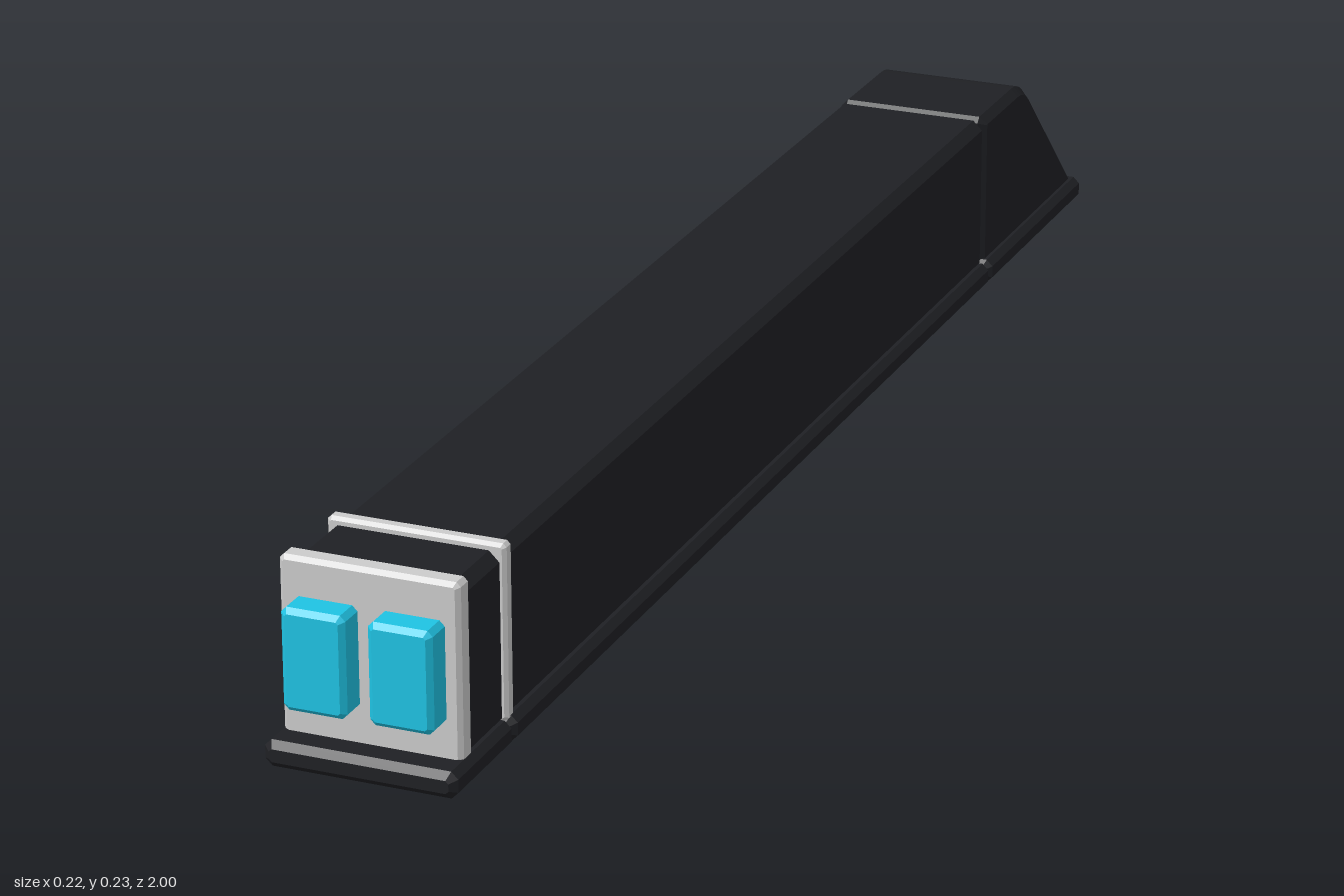
import * as THREE from 'three';

const BLACK = 0x1f2024, GREY = 0xcccccc, BLUE = 0x1fc3e3;

function material(color) {
  return new THREE.MeshStandardMaterial({ color, flatShading: true });
}

// Extrudes a shape by depth, chamfering both ends without growing the outline
function chamferedExtrude(shape, depth, c) {
  const g = new THREE.ExtrudeGeometry(shape, {
    depth: depth - 2 * c, bevelEnabled: true, bevelSegments: 1,
    bevelSize: c, bevelThickness: c, bevelOffset: -c, curveSegments: 5,
  });
  return g.translate(0, 0, c);
}

// Box with chamfered edges, given by its extents
function block(name, [x0, x1], [y0, y1], [z0, z1], c, color) {
  const s = new THREE.Shape([
    [x0 + c, y0], [x1 - c, y0], [x1, y0 + c], [x1, y1 - c],
    [x1 - c, y1], [x0 + c, y1], [x0, y1 - c], [x0, y0 + c],
  ].map(([x, y]) => new THREE.Vector2(x, y)));
  const mesh = new THREE.Mesh(chamferedExtrude(s, z1 - z0, Math.min(c, 0.008)), material(color));
  mesh.position.z = z0;
  mesh.name = name;
  return mesh;
}

export function createModel() {
  const model = new THREE.Group();
  model.name = 'barrierBar';
  const body = [-0.1, 0.1], plate = [-0.104, 0.104], base = [-0.112, 0.112];

  // Base strip in three sections
  const cuts = [-1, -0.64, 0.85, 1];
  ['rearBase', 'middleBase', 'frontBase'].forEach((name, i) =>
    model.add(block(name, base, [0, 0.031], [cuts[i], cuts[i + 1]], 0.008, BLACK)));

  // Long body and short front block
  model.add(block('mainBody', body, [0.02, 0.224], [-0.64, 0.835], 0.012, BLACK));
  model.add(block('frontBlock', body, [0.02, 0.224], [0.848, 0.942], 0.012, BLACK));

  // Pale trim plates
  model.add(block('trimPlate', plate, [0.025, 0.23], [0.832, 0.85], 0.004, GREY));
  model.add(block('facePlate', plate, [0.025, 0.232], [0.938, 0.965], 0.005, GREY));

  // Pair of lamps on the face
  for (const [side, s] of [['left', 1], ['right', -1]]) {
    const xs = [0.013 * s, 0.087 * s].sort((a, b) => a - b);
    model.add(block(side + 'Lamp', xs, [0.07, 0.188], [0.955, 1], 0.006, BLUE));
  }

  // Sloping tail with a rounded shoulder, profile drawn in z and y
  const tail = new THREE.Shape();
  tail.moveTo(-0.642, 0.02);
  tail.lineTo(-0.642, 0.217);
  tail.lineTo(-0.649, 0.224);
  tail.lineTo(-0.77, 0.224);
  tail.quadraticCurveTo(-0.797, 0.224, -0.818, 0.205);
  tail.lineTo(-0.992, 0.036);
  tail.lineTo(-0.992, 0.02);
  tail.closePath();
  const tailMesh = new THREE.Mesh(chamferedExtrude(tail, 0.2, 0.01), material(BLACK));
  tailMesh.rotation.y = -Math.PI / 2;
  tailMesh.position.x = 0.1;
  tailMesh.name = 'slopedTail';
  model.add(tailMesh);

  return model;
}
